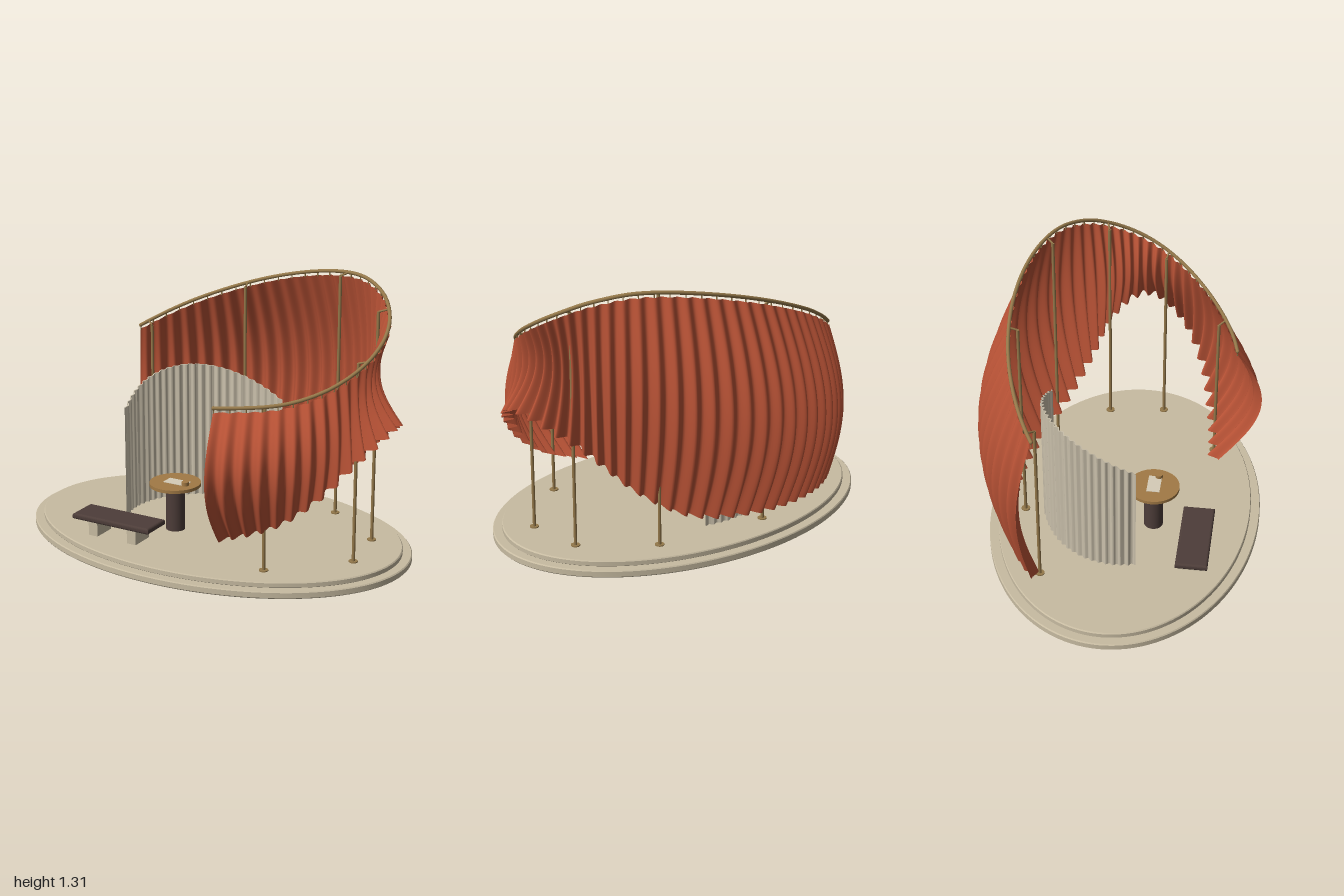
import * as THREE from 'three';
import { toCreasedNormals } from 'three/addons/utils/BufferGeometryUtils.js';

const mat = (name, color, side = THREE.FrontSide) => {
  const m = new THREE.MeshStandardMaterial({ color, side });
  m.name = name;
  return m;
};

const CZ = 0.018; // shared centre of every ellipse
const rad = THREE.MathUtils.degToRad;
// Point on a plan ellipse; angle 0 is the model's left, 90 is the back
const onEllipse = (deg, rx, rz, y = 0) =>
  new THREE.Vector3(rx * Math.cos(rad(deg)), y, CZ - rz * Math.sin(rad(deg)));
// Outward plan normal of the rail ellipse
const RX = 0.855, RZ = 0.54;
const normalAt = (deg) =>
  new THREE.Vector3(Math.cos(rad(deg)) / RX, 0, -Math.sin(rad(deg)) / RZ).normalize();

// Drape keys: angle, rail height, hem height, hem offset, belly
const KEYS = [
  [-71.6, 0.845, 0.17, -0.1, 0.165],
  [-50, 0.875, 0.285, -0.04, 0.115],
  [-35, 0.925, 0.43, 0.015, 0.055],
  [-20, 0.998, 0.6, 0.05, -0.01],
  [0, 1.105, 0.72, 0.075, -0.07],
  [20, 1.205, 0.62, 0.01, -0.06],
  [34, 1.265, 0.49, -0.05, 0.0],
  [50, 1.3, 0.33, -0.055, 0.075],
  [68, 1.28, 0.2, -0.02, 0.12],
  [90, 1.205, 0.15, 0.015, 0.145],
  [115, 1.075, 0.12, 0.02, 0.12],
  [140.5, 0.915, 0.1, 0.0, 0.075],
];
const A0 = KEYS[0][0], A1 = KEYS[KEYS.length - 1][0];

// Smooth cubic interpolation through one column of the keys
function drape(deg, col) {
  const n = KEYS.length;
  let i = 0;
  while (i < n - 2 && deg > KEYS[i + 1][0]) i++;
  const slope = (k) => {
    const a = KEYS[Math.max(0, k - 1)], b = KEYS[Math.min(n - 1, k + 1)];
    return (b[col] - a[col]) / (b[0] - a[0]);
  };
  const p = KEYS[i], q = KEYS[i + 1], h = q[0] - p[0], t = (deg - p[0]) / h;
  const t2 = t * t, t3 = t2 * t;
  return (2 * t3 - 3 * t2 + 1) * p[col] + (t3 - 2 * t2 + t) * h * slope(i)
    + (3 * t2 - 2 * t3) * q[col] + (t3 - t2) * h * slope(i + 1);
}

// Smooth sheet from a function of (u, v)
function sheet(nu, nv, point) {
  const pos = [], idx = [];
  for (let i = 0; i <= nu; i++)
    for (let j = 0; j <= nv; j++) pos.push(...point(i / nu, j / nv).toArray());
  for (let i = 0; i < nu; i++)
    for (let j = 0; j < nv; j++) {
      const a = i * (nv + 1) + j, b = a + nv + 1;
      idx.push(a, a + 1, b, b, a + 1, b + 1);
    }
  const g = new THREE.BufferGeometry();
  g.setAttribute('position', new THREE.Float32BufferAttribute(pos, 3));
  g.setIndex(idx);
  g.computeVertexNormals();
  return g;
}

export function createModel() {
  const model = new THREE.Group();
  const stone = mat('stone', 0xc8bca2);
  const terracotta = mat('terracotta fabric', 0xba5336, THREE.DoubleSide);
  const linen = mat('pale linen', 0xcbc1ac, THREE.DoubleSide);
  const brass = mat('brass', 0x94784a);
  const wood = mat('honey wood', 0xa27a45);
  const dark = mat('dark wood', 0x4d3d39);
  const paper = mat('paper', 0xd6ccb8);

  const add = (name, geo, material, x = 0, y = 0, z = 0, parent = model) => {
    const m = new THREE.Mesh(geo, material);
    m.name = name;
    m.position.set(x, y, z);
    parent.add(m);
    return m;
  };
  const cyl = (r, h, n = 32) => new THREE.CylinderGeometry(r, r, h, n);
  const rod = (name, a, b, r, parent) => {
    const d = b.clone().sub(a);
    const m = add(name, cyl(r, d.length(), 10), brass, 0, 0, 0, parent);
    m.position.copy(a).addScaledVector(d, 0.5);
    m.quaternion.setFromUnitVectors(new THREE.Vector3(0, 1, 0), d.normalize());
  };

  // Two-step oval plinth with softened edges
  const slab = (r, h, ratio) => {
    const c = 0.005;
    const profile = [[0, 0], [r - c, 0], [r, c], [r, h - c], [r - c, h], [0, h]];
    const g = new THREE.LatheGeometry(profile.map((p) => new THREE.Vector2(...p)), 128);
    return toCreasedNormals(g.scale(1, 1, ratio), 0.5);
  };
  add('lowerPlinth', slab(1, 0.035, 0.677), stone, 0, 0, CZ);
  add('upperPlinth', slab(0.955, 0.03, 0.66), stone, 0, 0.032, CZ);

  // Pleated curtain: belly and pleats pushed along the rail normal
  const PLEATS = 40;
  add('curtain', sheet(PLEATS * 12, 28, (u, v) => {
    const deg = A0 + (A1 - A0) * u;
    const top = drape(deg, 1) - 0.021;
    const wave = Math.cos(u * PLEATS * Math.PI * 2) * (0.009 + 0.02 * v);
    const out = drape(deg, 3) * v + drape(deg, 4) * Math.sin(Math.PI * v) + wave;
    return onEllipse(deg, RX, RZ, THREE.MathUtils.lerp(top, drape(deg, 2), v))
      .addScaledVector(normalAt(deg), out);
  }), terracotta);

  // Sloping rail with a small hook for each pleat
  const railAt = (deg) => onEllipse(deg, RX, RZ, drape(deg, 1));
  const railPts = [];
  for (let i = 0; i <= 48; i++) railPts.push(railAt(A0 + (A1 - A0) * i / 48));
  add('rail', new THREE.TubeGeometry(new THREE.CatmullRomCurve3(railPts), 160, 0.009, 10), brass);
  for (const deg of [A0, A1]) add('railEnd', new THREE.SphereGeometry(0.0095, 12, 8), brass).position.copy(railAt(deg));
  const hooks = new THREE.Group();
  hooks.name = 'curtainHooks';
  model.add(hooks);
  for (let i = 0; i <= PLEATS; i++) {
    const p = railAt(A0 + (A1 - A0) * i / PLEATS);
    rod('hook', p, p.clone().add(new THREE.Vector3(0, -0.026, 0)), 0.003, hooks);
  }

  // Posts standing just inside the rail
  for (const deg of [137, 99, 57, 21.5, -12, -54]) {
    const post = new THREE.Group();
    post.name = 'post';
    model.add(post);
    const foot = onEllipse(deg, 0.805, 0.5, 0.06);
    const head = foot.clone().setY(drape(deg, 1) - 0.015);
    rod('shaft', foot, head, 0.008, post);
    rod('bracket', head, railAt(deg), 0.005, post);
    add('footPlate', cyl(0.022, 0.006, 20), brass, foot.x, 0.064, foot.z, post);
  }

  // Corrugated inner screen with an arched top; v runs up one face and down the other
  const RIBS = 24;
  const screen = sheet(RIBS * 10, 3, (u, v) => {
    const deg = 73 + 122 * u;
    const wave = 0.006 * Math.cos(u * RIBS * Math.PI * 2) + (v < 0.5 ? 0.003 : -0.003);
    const top = 0.62 + 0.145 * Math.sin(Math.PI * u);
    return onEllipse(deg, 0.48 + wave, 0.405 + wave, v === 0 || v === 1 ? 0.06 : top);
  });
  add('innerScreen', toCreasedNormals(screen, 1), linen);

  // Round table with a sheet of paper and a cup
  const table = new THREE.Group();
  table.name = 'table';
  table.position.set(-0.152, 0, 0.175);
  model.add(table);
  add('tabletop', cyl(0.126, 0.016, 48), wood, 0, 0.296, 0, table);
  add('pedestal', cyl(0.047, 0.23), dark, 0, 0.175, 0, table);
  add('paperSheet', new THREE.BoxGeometry(0.12, 0.002, 0.065), paper, 0.01, 0.305, 0.0, table);
  add('cup', cyl(0.018, 0.018, 24), wood, 0.067, 0.313, 0.018, table);

  // Bench: soft-edged seat on two block legs
  const bench = new THREE.Group();
  bench.name = 'bench';
  bench.position.set(-0.338, 0, 0.4);
  model.add(bench);
  const w = 0.206, d = 0.067;
  const outline = new THREE.Shape([[-w, -d], [w, -d], [w, d], [-w, d]].map((p) => new THREE.Vector2(...p)));
  const seat = new THREE.ExtrudeGeometry(outline, {
    depth: 0.008, bevelThickness: 0.011, bevelSize: 0.011, bevelSegments: 4,
  }).rotateX(-Math.PI / 2);
  add('seat', seat, dark, 0, 0.146, 0, bench);
  for (const s of [-1, 1])
    add('benchLeg', new THREE.BoxGeometry(0.05, 0.078, 0.12), stone, s * 0.11, 0.099, 0, bench);

  return model;
}
